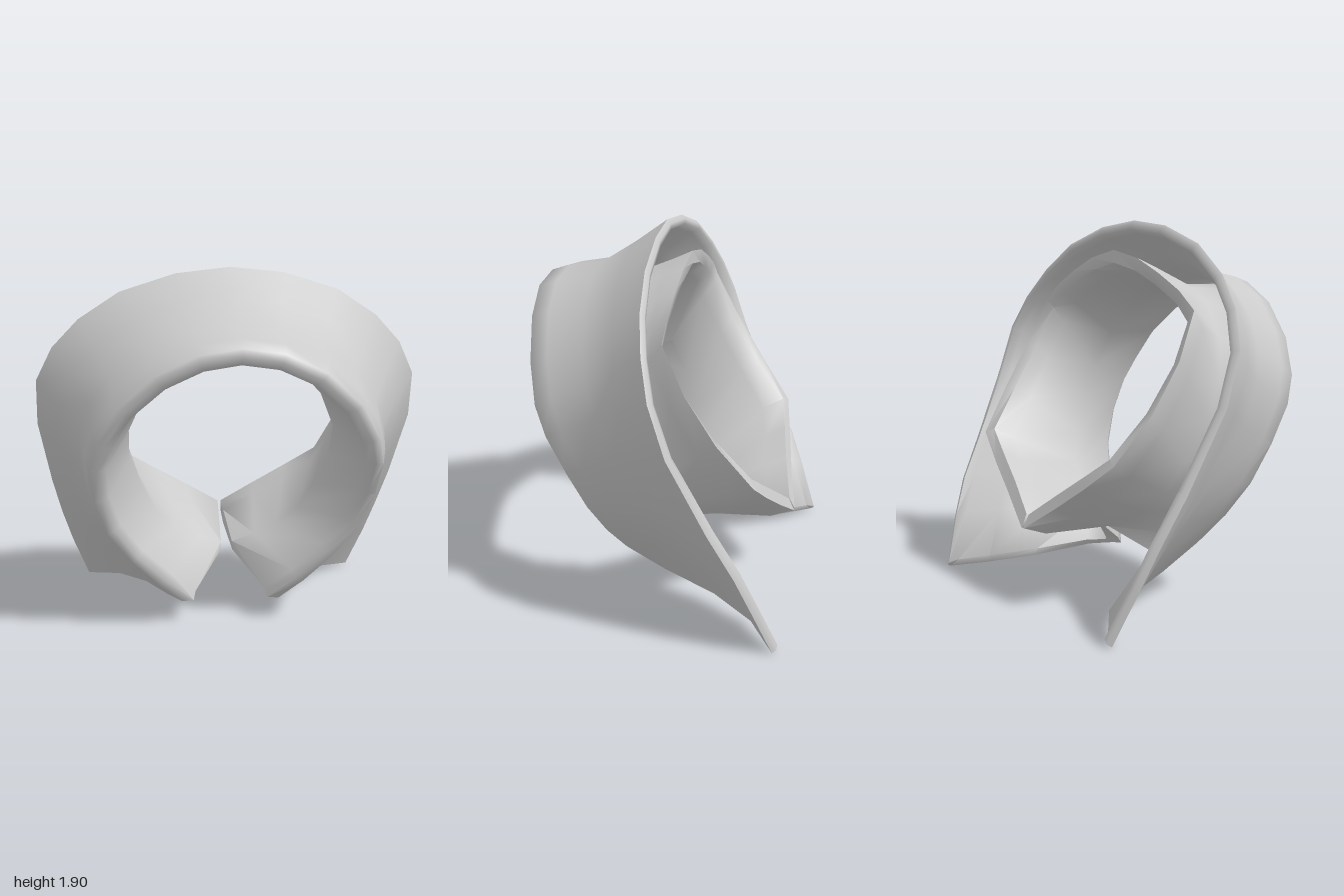
import * as THREE from 'three';
import { toCreasedNormals } from 'three/addons/utils/BufferGeometryUtils.js';

const points = (a) => a.map((p) => new THREE.Vector3(...p));

// Guide curves for the left half, from the top centre round to the open end
const fold = points([
  [0, 1.61, 0.66], [0.2, 1.58, 0.66], [0.4, 1.48, 0.63], [0.58, 1.31, 0.58], [0.68, 1.13, 0.53], [0.715, 0.99, 0.47],
  [0.7, 0.8, 0.38], [0.64, 0.6, 0.3], [0.52, 0.42, 0.24], [0.38, 0.26, 0.18], [0.26, 0.13, 0.1]]);
const leafEdge = points([
  [0, 1.9, 0.05], [0.27, 1.87, 0.04], [0.55, 1.78, 0.02], [0.76, 1.64, -0.01], [0.9, 1.49, -0.05], [0.99, 1.31, -0.1],
  [1, 1.06, -0.18], [0.95, 0.68, -0.36], [0.91, 0.45, -0.48], [0.86, 0.25, -0.56], [0.78, 0, -0.65]]);
const waist = points([
  [0, 1.52, 0.3], [0.16, 1.51, 0.3], [0.3, 1.44, 0.27], [0.44, 1.29, 0.22], [0.52, 1.1, 0.15], [0.52, 0.92, 0.07],
  [0.45, 0.74, 0], [0.38, 0.59, -0.06], [0.27, 0.49, -0.1], [0.15, 0.42, -0.12], [0.03, 0.37, -0.14]]);
const bandEdge = points([
  [0, 1.75, -0.08], [0.2, 1.71, -0.08], [0.37, 1.64, -0.08], [0.53, 1.56, -0.08], [0.645, 1.47, -0.08], [0.675, 1.24, -0.19],
  [0.665, 1, -0.34], [0.6, 0.77, -0.51], [0.42, 0.64, -0.55], [0.22, 0.51, -0.59], [0.01, 0.38, -0.64]]);

// Move a point toward the collar's axis and along z
function inward(p, d, dz = 0) {
  const dir = new THREE.Vector3(-p.x, 1 - p.y, 0).normalize();
  return p.clone().addScaledVector(dir, d).add(new THREE.Vector3(0, 0, dz));
}

// Closed cross-section: leaf, fold and band on the face side, then back along the hidden side
function section(k) {
  const F = fold[k], L = leafEdge[k], N = waist[k], B = bandEdge[k];
  const dent = Math.max(0, k - 8) / 2; // the leaf and fold curl inward at the open end
  const curl = new THREE.Vector3(-0.05, 0.01, -0.06).multiplyScalar(dent);
  const tuck = new THREE.Vector3(-0.05, -0.03, 0).multiplyScalar(dent);
  const leaf = (t, d) => inward(F.clone().lerp(L, t), d * (1 - dent)).add(curl);
  const outer = leaf(0.74, 0.04), middle = leaf(0.45, 0.07);
  const neck = inward(F.clone().lerp(L, 0.15), 0.015);
  const bandIn = inward(B, 0.065, 0.003 * k), bandOut = inward(N, -0.05);
  const face = [inward(L, 0.02, -0.02), L, outer, middle, neck, F,
    inward(F, 0.04, 0.01).add(tuck), inward(F, 0.08, -0.02).add(tuck),
    N, N.clone().lerp(bandIn, 0.75), bandIn];
  const back = [inward(L, 0.045, -0.02), inward(L.clone().lerp(outer, 0.15), 0.05), inward(outer, 0.05),
    inward(middle, 0.045), inward(neck, 0.03, -0.02),
    inward(F, 0.03, -0.06), inward(F, 0.038, -0.055), inward(F, 0.046, -0.06),
    bandOut, inward(B.clone().lerp(bandOut, 0.25), -0.003 * k), B];
  return [...face, ...back.reverse()];
}

// Skin the sections and close both open ends
function skin(sections) {
  const m = sections[0].length, index = [];
  const quad = (a, b, c, d) => index.push(a, b, c, a, c, d);
  for (let j = 0; j < sections.length - 1; j++) {
    for (let i = 0; i < m; i++) {
      const n = (i + 1) % m;
      quad(j * m + i, j * m + n, (j + 1) * m + n, (j + 1) * m + i);
    }
  }
  const last = (sections.length - 1) * m;
  for (let i = 0; i < m / 2 - 1; i++) {
    const o = m - 1 - i;
    quad(i, o, o - 1, i + 1);
    quad(last + i, last + i + 1, last + o - 1, last + o);
  }
  const geometry = new THREE.BufferGeometry().setFromPoints(sections.flat());
  geometry.setIndex(index);
  return toCreasedNormals(geometry, 1.15);
}

export function createModel() {
  const group = new THREE.Group();
  group.name = 'foldedCollar';
  const half = fold.map((_, k) => section(k));
  const mirrored = half.slice(1).reverse().map((s) => s.map((p) => new THREE.Vector3(-p.x, p.y, p.z)));
  const collar = new THREE.Mesh(
    skin([...mirrored, ...half]),
    new THREE.MeshStandardMaterial({ color: 0xcccccc, side: THREE.DoubleSide }));
  collar.name = 'collar';
  group.add(collar);
  return group;
}
